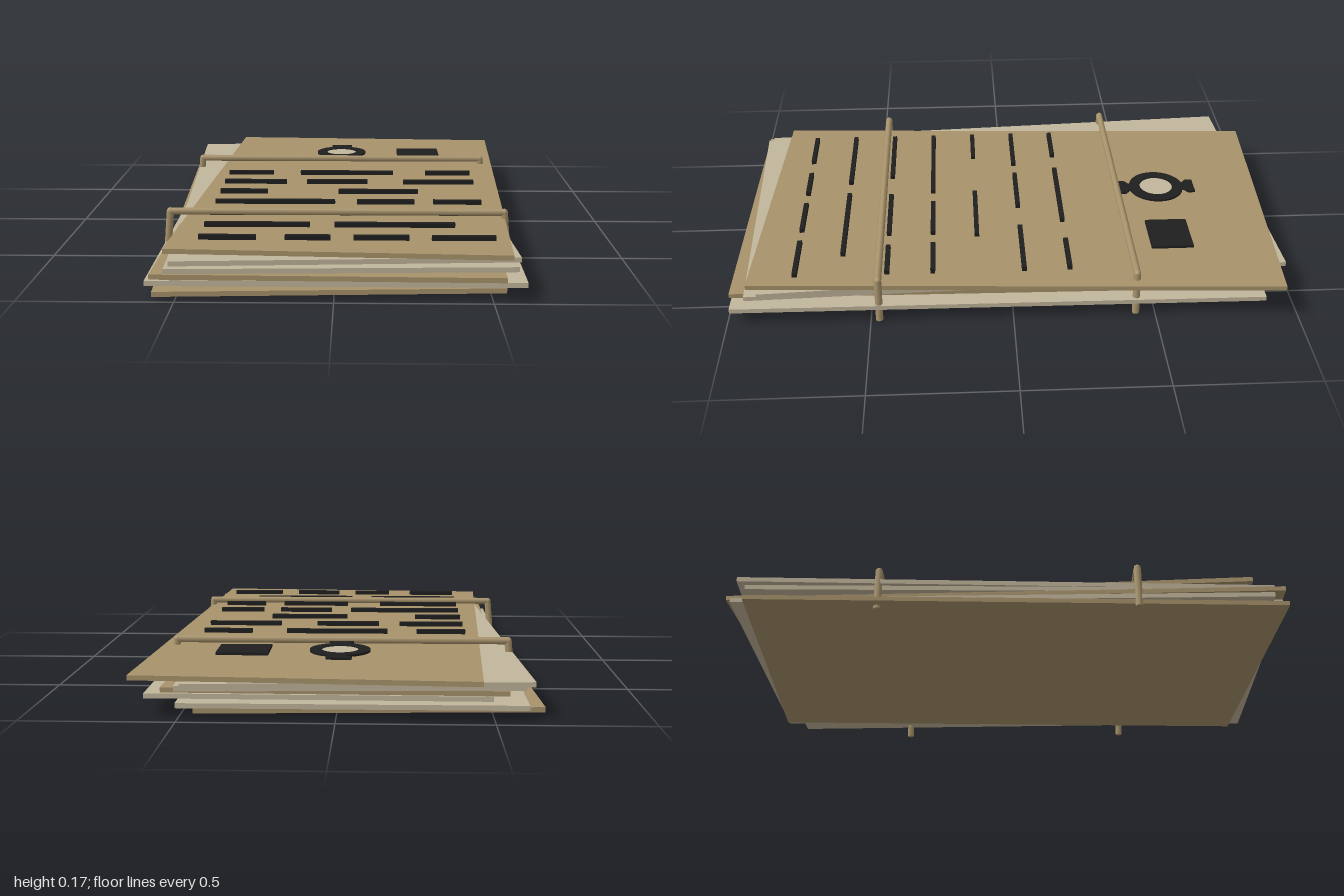
import * as THREE from 'three';

const tan = new THREE.MeshStandardMaterial({ name: 'kraft tan', color: 0xa8936b });
const pale = new THREE.MeshStandardMaterial({ name: 'pale paper', color: 0xc2b69c });
const ink = new THREE.MeshStandardMaterial({ name: 'black ink', color: 0x1f1f1f });

function add(parent, name, geometry, material, x = 0, y = 0, z = 0) {
  const mesh = new THREE.Mesh(geometry, material);
  mesh.name = name;
  mesh.position.set(x, y, z);
  parent.add(mesh);
  return mesh;
}

// Flat plate cut from a shape drawn in x and -z
function plate(shape, depth) {
  return new THREE.ExtrudeGeometry(shape, { depth, bevelEnabled: false, curveSegments: 16 }).rotateX(-Math.PI / 2);
}

// Capped round rod between two points
function rod(parent, name, a, b, radius) {
  const mesh = add(parent, name, new THREE.CylinderGeometry(radius, radius, a.distanceTo(b), 8), tan);
  mesh.position.copy(a).lerp(b, 0.5);
  mesh.quaternion.setFromUnitVectors(new THREE.Vector3(0, 1, 0), b.clone().sub(a).normalize());
}

export function createModel() {
  const model = new THREE.Group();
  model.name = 'bound papers';

  // Loose stack of sheets, bottom to top: x, z, turn, material
  const sheets = [
    [-0.059, 0.024, 0.05, tan],
    [-0.047, -0.005, 0.003, pale],
    [0.053, 0.045, -0.008, pale],
    [-0.006, 0.049, -0.015, tan],
    [-0.01, 0.02, 0.037, pale],
    [-0.017, -0.015, 0.057, pale],
    [0.054, -0.035, -0.05, tan],
  ];
  sheets.forEach(([x, z, turn, material], i) => {
    add(model, 'sheet', new THREE.BoxGeometry(1.12, 0.0165, 1.877), material, x, 0.0225 + i * 0.0178, z).rotation.y = turn;
  });

  // Rows of inked bars: start and end of each bar in x
  const rows = [
    [[-0.45, -0.27], [-0.16, 0.215], [0.345, 0.525]],
    [[-0.45, -0.207], [-0.127, 0.11], [0.25, 0.525]],
    [[-0.45, -0.27], [0, 0.3]],
    [[-0.45, -0.01], [0.07, 0.28], [0.35, 0.525]],
    [[-0.45, -0.127], [0.01, 0.28], [0.36, 0.525]],
    [[-0.45, -0.09], [-0.005, 0.405]],
    [[-0.45, -0.26], [-0.165, -0.015], [0.06, 0.243], [0.317, 0.527]],
  ];
  rows.forEach((row, i) => row.forEach(([a, b]) => {
    add(model, 'inkBar', new THREE.BoxGeometry(b - a, 0.016, 0.017), ink, (a + b) / 2, 0.147, -0.203 + i * 0.161);
  }));

  // Round stamp: ring, pale centre and a flared tab at each end
  const stamp = new THREE.Group();
  stamp.name = 'roundStamp';
  stamp.position.set(0, 0.148, -0.587);
  model.add(stamp);
  const ring = new THREE.Shape().absarc(0, 0, 0.104, 0, Math.PI * 2);
  ring.holes.push(new THREE.Path().absarc(0, 0, 0.063, 0, Math.PI * 2, true));
  add(stamp, 'stampRing', plate(ring, 0.008), ink);
  add(stamp, 'stampCentre', new THREE.CylinderGeometry(0.064, 0.064, 0.005, 32), pale, 0, 0.0025, 0);
  const tab = new THREE.Shape([
    [-0.043, 0.147], [-0.043, 0.12], [-0.022, 0.105], [-0.03, 0.09],
    [0.03, 0.09], [0.022, 0.105], [0.043, 0.12], [0.043, 0.147],
  ].map(([x, y]) => new THREE.Vector2(x, y)));
  for (const turn of [0, Math.PI]) {
    add(stamp, 'stampTab', plate(tab, 0.007), ink).rotation.y = turn;
  }

  // Square stamp
  add(model, 'squareStamp', new THREE.BoxGeometry(0.178, 0.009, 0.152), ink, 0.33, 0.1505, -0.585);

  // Two cords across the stack with splayed ends
  for (const z of [-0.432, 0.47]) {
    const cord = new THREE.Group();
    cord.name = 'cord';
    cord.position.z = z;
    model.add(cord);
    const r = 0.013;
    const corner = (s) => new THREE.Vector3(s * 0.587, 0.158, 0);
    rod(cord, 'cordTop', corner(-1), corner(1), r);
    for (const s of [-1, 1]) {
      rod(cord, 'cordEnd', corner(s), new THREE.Vector3(s * 0.601, 0.002, 0), r);
      const c = corner(s);
      add(cord, 'cordElbow', new THREE.SphereGeometry(r, 10, 8), tan, c.x, c.y, c.z);
    }
  }
  return model;
}
